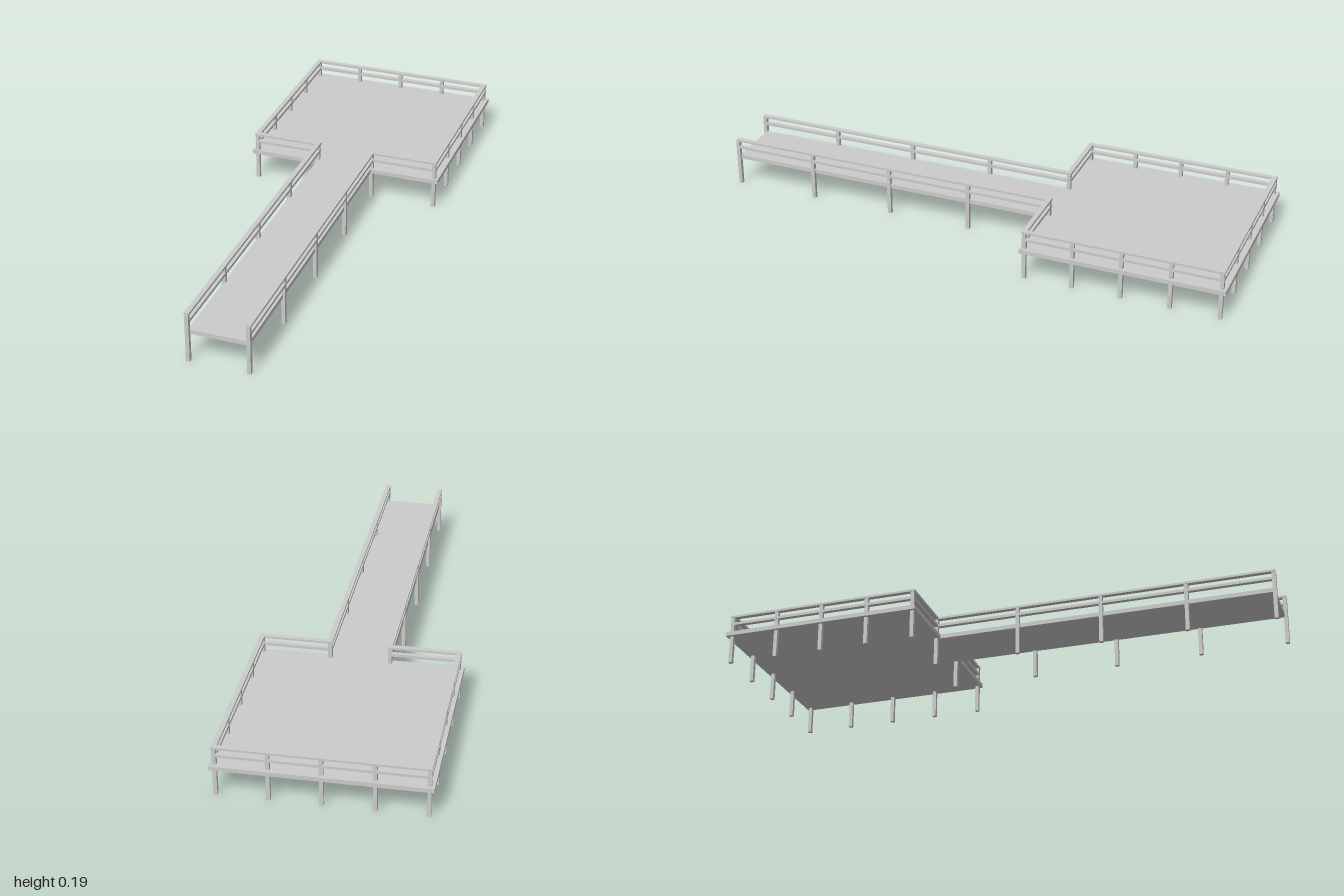
import * as THREE from 'three';

const PATH_X = 0.108;   // half spacing of the walkway posts
const SIDE_X = 0.355;   // half spacing of the platform posts
const FRONT_Z = -0.27;  // platform front post line
const BACK_Z = -0.981;  // platform back post line
const POST = 0.014;

export function createModel() {
  const group = new THREE.Group();
  const material = new THREE.MeshStandardMaterial({ color: 0xcccccc, flatShading: true });

  const add = (name, geometry) => {
    const mesh = new THREE.Mesh(geometry, material);
    mesh.name = name;
    group.add(mesh);
    return mesh;
  };

  // Horizontal slab from an [x, z] outline, between two heights
  const slab = (name, outline, y0, y1) => {
    const shape = new THREE.Shape(outline.map(([x, z]) => new THREE.Vector2(x, -z)));
    const geometry = new THREE.ExtrudeGeometry(shape, { depth: y1 - y0, bevelEnabled: false });
    geometry.rotateX(-Math.PI / 2).translate(0, y0, 0);
    add(name, geometry);
  };

  const mirror = (points) => points.map(([x, z]) => [-x, z]).reverse();

  // T-shaped deck: narrow walkway leading to a square platform
  const deckHalf = [[PATH_X, 0.99], [PATH_X, -0.255], [0.373, -0.255], [0.373, -1]];
  slab('deck', [...deckHalf, ...mirror(deckHalf)], 0.104, 0.12);

  // Railing line around the whole edge, offset outwards by d, open at the walkway end
  const railLine = (d) => {
    const half = [
      [PATH_X + d, 0.998], [PATH_X + d, FRONT_Z + d],
      [SIDE_X + d, FRONT_Z + d], [SIDE_X + d, BACK_Z - d],
    ];
    return [...half, ...mirror(half)];
  };
  const rail = (name, width, y0, y1) =>
    slab(name, [...railLine(width / 2), ...railLine(-width / 2).reverse()], y0, y1);
  rail('topRail', 0.018, 0.18, 0.188);
  rail('middleRail', 0.016, 0.15, 0.16);

  // Posts run from the ground to the top rail
  const postGeometry = new THREE.BoxGeometry(POST, 0.182, POST);
  const post = (name, x, z) => add(name, postGeometry).position.set(x, 0.091, z);

  for (let i = 0; i < 5; i++) {
    const t = i / 4;
    for (const side of [-1, 1]) {
      post('walkwayPost', side * PATH_X, THREE.MathUtils.lerp(0.993, FRONT_Z, t));
      post('platformSidePost', side * SIDE_X, THREE.MathUtils.lerp(FRONT_Z, BACK_Z, t));
    }
    // corner posts already stand at both ends of the back row
    if (i > 0 && i < 4) post('platformBackPost', THREE.MathUtils.lerp(-SIDE_X, SIDE_X, t), BACK_Z);
  }

  return group;
}
